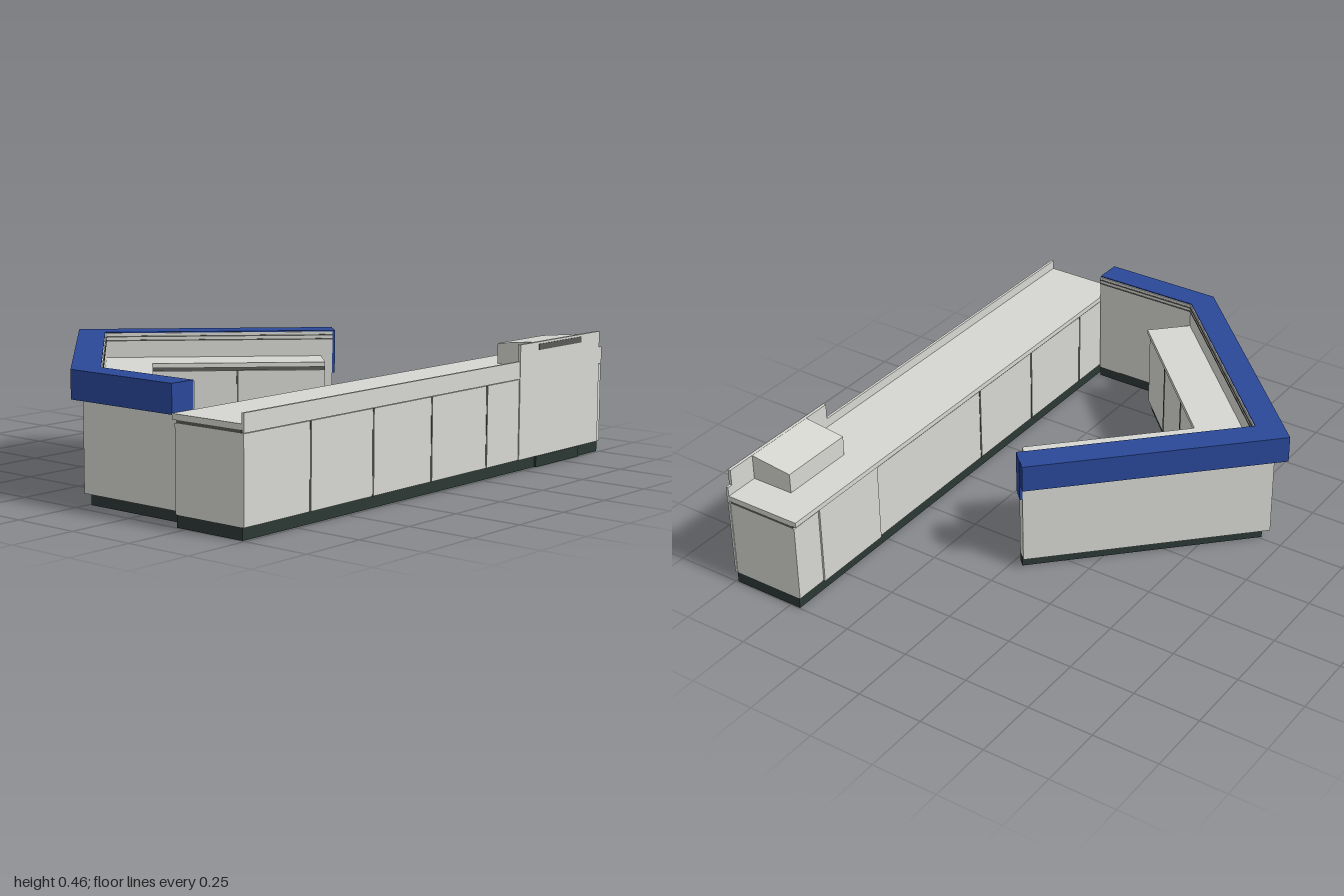
import * as THREE from 'three';

const mat = (name, color, side = THREE.FrontSide) => {
  const m = new THREE.MeshStandardMaterial({ color, side });
  m.name = name;
  return m;
};

export function createModel() {
  const root = new THREE.Group();
  root.name = 'receptionCounter';
  const grey = mat('light grey panel', 0xd6d7d1);
  const blue = mat('blue trim', 0x2a4899);
  const dark = mat('dark plinth', 0x2b3835);
  const shadow = mat('seam grey', 0x595b58);

  const add = (parent, geo, material, name) => {
    const m = new THREE.Mesh(geo, material);
    m.name = name;
    parent.add(m);
    return m;
  };
  const group = (name) => {
    const g = new THREE.Group();
    g.name = name;
    root.add(g);
    return g;
  };
  // Box given by its limits on each axis
  const box = (parent, name, material, [x0, x1], [y0, y1], [z0, z1]) => {
    const g = new THREE.BoxGeometry(x1 - x0, y1 - y0, z1 - z0);
    g.translate((x0 + x1) / 2, (y0 + y1) / 2, (z0 + z1) / 2);
    return add(parent, g, material, name);
  };

  // Inward mitred offset of an [x, z] path
  const dir = (a, b) => {
    const l = Math.hypot(b[0] - a[0], b[1] - a[1]);
    return [(b[0] - a[0]) / l, (b[1] - a[1]) / l];
  };
  const offset = (path, o) => path.map((p, i) => {
    const d1 = dir(path[Math.max(i - 1, 0)], path[Math.max(i, 1)]);
    const last = path.length - 1;
    const d2 = dir(path[Math.min(i, last - 1)], path[Math.min(i + 1, last)]);
    const k = o / (1 + d1[0] * d2[0] + d1[1] * d2[1]);
    return [p[0] - (d1[1] + d2[1]) * k, p[1] + (d1[0] + d2[0]) * k];
  });
  // Band between two offsets of a path, raised from y0 to y1
  const band = (parent, name, material, path, o0, o1, y0, y1) => {
    const pts = [...offset(path, o0), ...offset(path, o1).reverse()];
    const shape = new THREE.Shape(pts.map(([x, z]) => new THREE.Vector2(x, -z)));
    const g = new THREE.ExtrudeGeometry(shape, { depth: y1 - y0, bevelEnabled: false });
    g.rotateX(-Math.PI / 2).translate(0, y0, 0);
    return add(parent, g, material, name);
  };
  // Thin upright joint on one segment of an offset path
  const joint = (parent, path, o, seg, t, y0, y1) => {
    const q = offset(path, o);
    const [a, b] = [q[seg], q[seg + 1]];
    const d = dir(a, b);
    const m = add(parent, new THREE.BoxGeometry(0.007, y1 - y0, 0.004), shadow, 'panelJoint');
    m.position.set(a[0] + (b[0] - a[0]) * t, (y0 + y1) / 2, a[1] + (b[1] - a[1]) * t);
    m.rotation.y = Math.atan2(-d[1], d[0]);
  };

  // Long front counter
  const front = group('frontCounter');
  box(front, 'counterPlinth', dark, [-0.997, 0.997], [0, 0.042], [0.46, 0.74]);
  box(front, 'plinthStep', dark, [0.58, 0.86], [0, 0.04], [0.735, 0.748]);
  box(front, 'counterBody', grey, [-0.998, 0.998], [0.042, 0.335], [0.455, 0.744]);
  box(front, 'shadowGap', shadow, [-0.998, 0.998], [0.335, 0.346], [0.462, 0.735]);
  box(front, 'counterTop', grey, [-1, 1], [0.346, 0.365], [0.445, 0.745]);
  box(front, 'frontSkirt', grey, [-1, 1], [0.042, 0.335], [0.738, 0.748]);
  box(front, 'frontLip', grey, [-1, 1], [0.337, 0.4], [0.74, 0.75]);
  box(front, 'raisedFrontPanel', grey, [0.465, 0.98], [0.042, 0.46], [0.74, 0.752]);
  box(front, 'rearFixedPanel', grey, [0.55, 0.87], [0.042, 0.35], [0.448, 0.47]);
  for (const x of [-0.685, -0.367, -0.05, 0.27])
    box(front, 'frontJoint', shadow, [x - 0.004, x + 0.004], [0.042, 0.335], [0.746, 0.7495]);
  for (const x of [-0.76, -0.42, -0.08])
    box(front, 'rearJoint', shadow, [x - 0.004, x + 0.004], [0.042, 0.335], [0.453, 0.457]);

  // Sloped box on the counter, with its slot at the front
  const hood = box(front, 'slopedBox', grey, [0.575, 0.867], [0.36, 0.46], [0.575, 0.745]);
  const hp = hood.geometry.attributes.position;
  for (let i = 0; i < hp.count; i++)
    if (hp.getY(i) > 0.4 && hp.getZ(i) < 0.6) hp.setY(i, 0.44);
  hood.geometry.computeVertexNormals();
  box(front, 'frontSlot', shadow, [0.58, 0.856], [0.43, 0.452], [0.748, 0.754]);

  // Angled screen wall with blue fascia
  const wall = group('screenWall');
  const path = [[-1, 0.445], [-1, -0.015], [-0.26, -0.755], [0.415, -0.08]];
  const wallPath = [...path.slice(0, 3), [0.41, -0.085]];
  band(wall, 'wallPlinth', dark, wallPath, 0.062, 0.095, 0, 0.042);
  band(wall, 'wallPanel', grey, wallPath, 0.039, 0.1, 0.042, 0.362);
  band(wall, 'blueFascia', blue, path, 0, 0.099, 0.36, 0.46);
  band(wall, 'innerLining', grey, wallPath, 0.098, 0.103, 0.36, 0.456);
  for (const y of [0.426, 0.441])
    band(wall, 'liningGroove', shadow, wallPath, 0.102, 0.1045, y, y + 0.005);
  band(wall, 'blueEndPlate', blue, [[0.408, -0.087], [0.417, -0.078]], 0.039, 0.1, 0.3, 0.46);
  for (const t of [1 / 3, 2 / 3]) joint(wall, path, 0.039, 1, t, 0.042, 0.36);

  // V-shaped work desk inside the screen
  const desk = group('workDesk');
  const deskPath = [[-0.9, 0.026], [-0.26, -0.614], [0.31, -0.044]];
  band(desk, 'deskPlinth', dark, deskPath, 0.01, 0.15, 0, 0.042);
  band(desk, 'deskBody', grey, deskPath, 0.002, 0.163, 0.042, 0.335);
  band(desk, 'deskShadowGap', shadow, deskPath, 0.003, 0.157, 0.335, 0.348);
  band(desk, 'deskTop', grey, deskPath, 0, 0.173, 0.348, 0.365);
  for (const t of [1 / 3, 2 / 3]) joint(desk, deskPath, 0.163, 0, t, 0.042, 0.335);
  joint(desk, deskPath, 0.163, 1, 0.5, 0.042, 0.335);

  return root;
}
